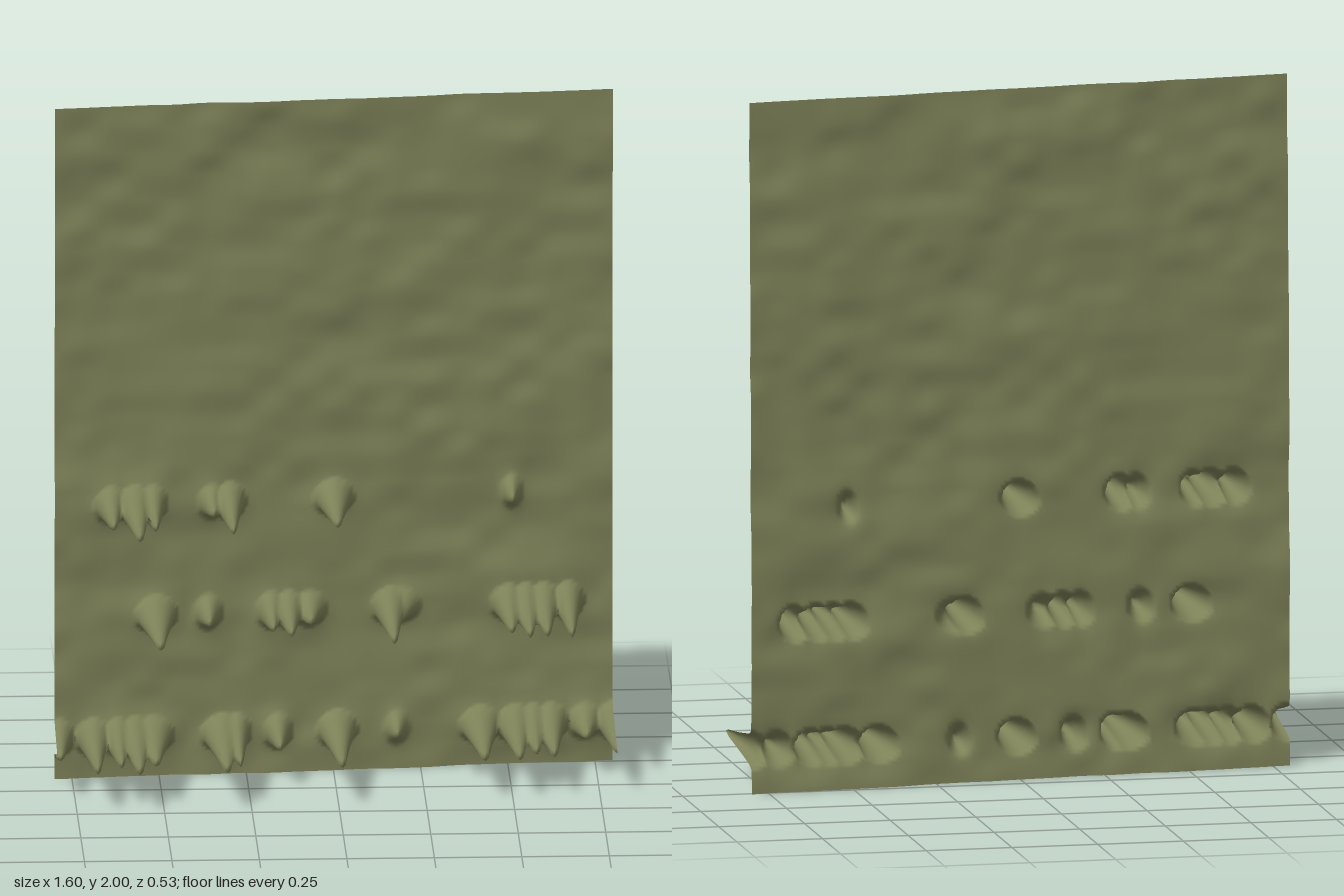
import * as THREE from 'three';

// Spikes per row: [x, tip z, half width]
const ROWS = [
  { y: 0.81, spikes: [[-0.64, 0.14, 0.045], [-0.57, 0.27, 0.055], [-0.52, 0.16, 0.04], [-0.35, 0.0, 0.04], [-0.3, 0.2, 0.045], [0, 0.14, 0.055], [0.51, -0.13, 0.03]] },
  { y: 0.48, spikes: [[-0.51, 0.24, 0.06], [-0.36, -0.02, 0.04], [-0.18, 0.05, 0.04], [-0.13, 0.11, 0.045], [-0.07, -0.03, 0.05], [0.16, 0.2, 0.05], [0.19, -0.07, 0.06], [0.5, 0.1, 0.05], [0.55, 0.15, 0.05], [0.6, 0.14, 0.05], [0.67, 0.15, 0.045]] },
  { y: 0.12, spikes: [[-0.79, 0.11, 0.045], [-0.69, 0.26, 0.05], [-0.62, 0.2, 0.045], [-0.57, 0.27, 0.055], [-0.52, 0.18, 0.06], [-0.32, 0.26, 0.06], [-0.28, 0.2, 0.04], [-0.16, 0.02, 0.04], [0.01, 0.22, 0.055], [0.18, -0.12, 0.035], [0.42, 0.16, 0.06], [0.52, 0.16, 0.055], [0.57, 0.1, 0.05], [0.62, 0.13, 0.05], [0.72, -0.07, 0.05], [0.8, 0.1, 0.05]] },
];

// Seeded smooth value noise in -1..1
function hash(i, j) {
  const s = Math.sin(i * 127.1 + j * 311.7) * 43758.5453;
  return (s - Math.floor(s)) * 2 - 1;
}
function noise(x, y) {
  const i = Math.floor(x), j = Math.floor(y);
  const ease = t => t * t * (3 - 2 * t);
  const u = ease(x - i), v = ease(y - j);
  const lerp = THREE.MathUtils.lerp;
  return lerp(lerp(hash(i, j), hash(i + 1, j), u), lerp(hash(i, j + 1), hash(i + 1, j + 1), u), v);
}

// Slanted, gently rumpled sheet
const plane = (x, y) => -0.19 - 0.087 * x + 0.0175 * y;
const rumple = (x, y) => 0.008 * noise(x * 5 + 3, y * 7) + 0.005 * noise(x * 11, y * 14 + 5);

function depth(x, y) {
  const base = plane(x, y);
  let lift = 0;
  for (const row of ROWS) {
    if (Math.abs(y - row.y) > 0.12) continue;
    for (const [sx, tip, w] of row.spikes) {
      const dy = y - row.y;
      // taller above the tip than below it
      const r = Math.hypot((x - sx) / w, dy / (dy > 0 ? 0.055 : 0.045));
      const t = Math.max(0, 1 - Math.max(0, r - 0.12) / 0.88);
      const cone = (tip - plane(sx, row.y)) * Math.pow(t, 1.25);
      const flare = 0.015 * Math.exp(-r * r);
      lift = Math.max(lift, cone + flare * (1 - t));
    }
  }
  return base + rumple(x, y) * (lift > 0.1 ? 0.3 : 1) + lift;
}

export function createModel() {
  const group = new THREE.Group();
  group.name = 'spikedWall';
  const olive = new THREE.MeshStandardMaterial({ color: 0x7e8258, side: THREE.DoubleSide });
  olive.name = 'olive';

  // One continuous sheet with the spikes drawn out of its surface
  const geometry = new THREE.PlaneGeometry(1.6, 2, 160, 200);
  geometry.translate(0, 1, 0);
  const p = geometry.attributes.position;
  for (let i = 0; i < p.count; i++) p.setZ(i, Math.min(0.27, depth(p.getX(i), p.getY(i))));
  geometry.computeVertexNormals();

  const sheet = new THREE.Mesh(geometry, olive);
  sheet.name = 'spikedSheet';
  group.add(sheet);
  return group;
}
